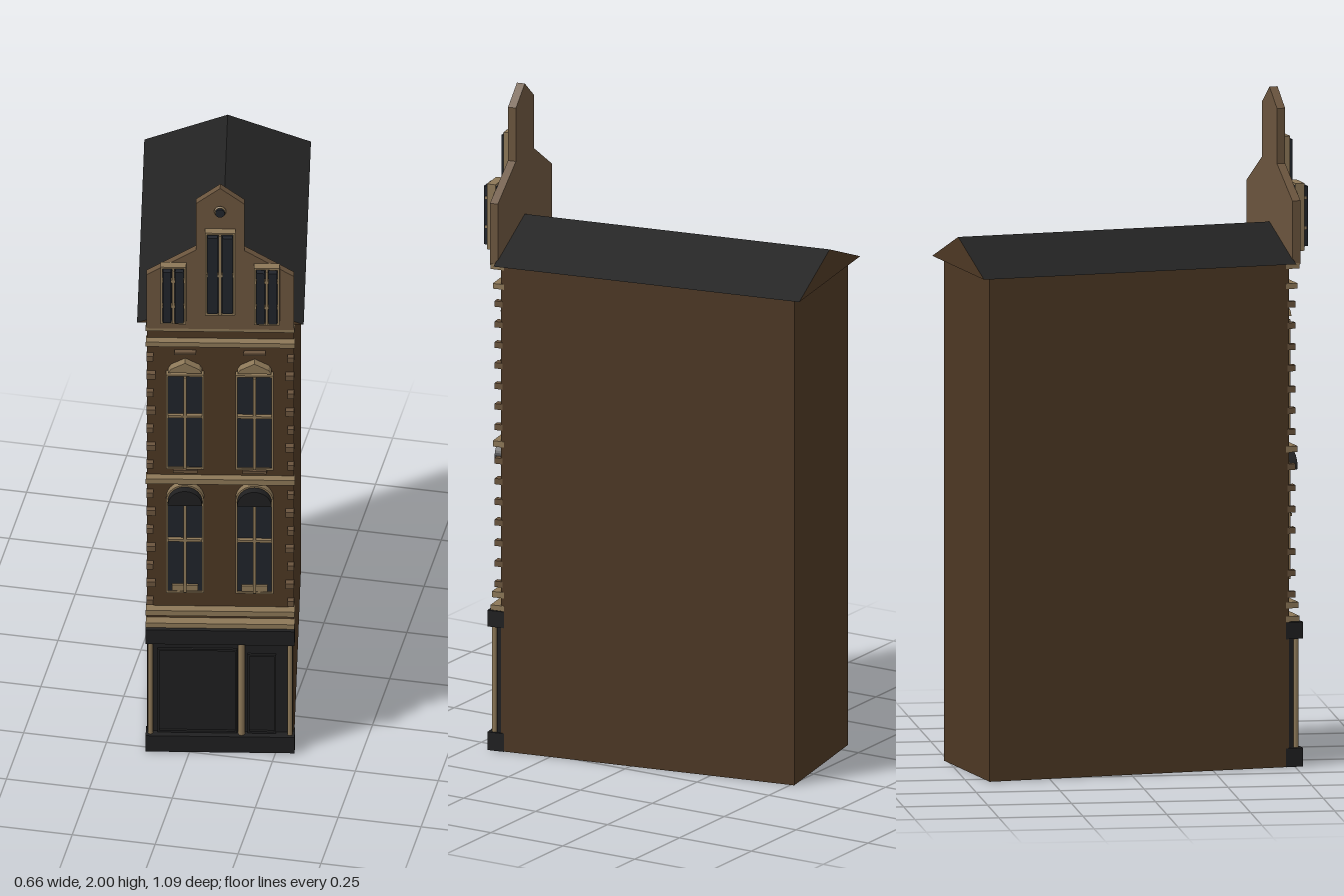
import * as THREE from 'three';

const mat = (name, color) => {
  const m = new THREE.MeshStandardMaterial({ color });
  m.name = name;
  return m;
};

export function createModel() {
  const brick = mat('brown brick', 0x4c3723);
  const stone = mat('gable stone', 0x6a543d);
  const trim = mat('tan trim', 0x8c7757);
  const slate = mat('dark slate', 0x222222);
  const glass = mat('window glass', 0x20242a);
  const shop = mat('black shop paint', 0x1f1f20);

  const model = new THREE.Group();
  model.name = 'townhouse';
  const house = new THREE.Group();
  house.name = 'house';
  house.rotation.y = 0.182; // the house stands slightly turned
  model.add(house);

  const add = (name, geo, material, parent = house) => {
    const mesh = new THREE.Mesh(geo, material);
    mesh.name = name;
    parent.add(mesh);
    return mesh;
  };
  // box from its limits
  const box = (name, material, x0, x1, y0, y1, z0, z1, parent = house) => {
    const m = add(name, new THREE.BoxGeometry(x1 - x0, y1 - y0, z1 - z0), material, parent);
    m.position.set((x0 + x1) / 2, (y0 + y1) / 2, (z0 + z1) / 2);
    return m;
  };
  // outline extruded from z0 to z1
  const plate = (name, material, shape, z0, z1, parent = house) => {
    const geo = new THREE.ExtrudeGeometry(shape, { depth: z1 - z0, bevelEnabled: false, curveSegments: 12 });
    const m = add(name, geo, material, parent);
    m.position.z = z0;
    return m;
  };
  const polygon = pts => new THREE.Shape(pts.map(p => new THREE.Vector2(...p)));

  const W = 0.217; // half width of the house
  const F = 0.45;  // facade plane

  box('body', brick, -W, W, 0, 1.505, -0.48, F);

  // roof: brick gable ends, slate slopes and underside
  plate('roof', [brick, slate], polygon([[-0.246, 1.505], [0.246, 1.505], [0, 1.597]]), -0.507, 0.463);

  // stepped front gable
  plate('frontGable', stone, polygon([
    [-0.218, 1.5], [0.218, 1.5], [0.218, 1.69], [0.072, 1.78], [0.072, 1.945],
    [0, 2], [-0.072, 1.945], [-0.072, 1.78], [-0.218, 1.69],
  ]), 0.46, 0.485);

  // round attic opening
  const ring = add('atticRing', new THREE.TorusGeometry(0.014, 0.004, 8, 20), trim);
  ring.position.set(0, 1.923, 0.492);
  const hole = add('atticOpening', new THREE.CylinderGeometry(0.014, 0.014, 0.022, 20), glass);
  hole.rotation.x = Math.PI / 2;
  hole.position.set(0, 1.923, 0.493);

  // rectangular window with trim frame, glass, mullion and transoms
  const addWindow = (name, cx, hw, y0, y1, z, depth, transoms) => {
    const g = new THREE.Group();
    g.name = name;
    house.add(g);
    const t = 0.006;
    const zf = z + depth;
    box('pane', glass, cx - hw + t, cx + hw - t, y0 + t, y1 - t, z, z + depth * 0.6, g);
    for (const s of [-1, 1]) {
      const x = cx + s * (hw - t / 2);
      box('jamb', trim, x - t / 2, x + t / 2, y0, y1, z, z + depth * 0.75, g);
    }
    box('frameBottom', trim, cx - hw, cx + hw, y0, y0 + t, z, z + depth * 0.75, g);
    box('frameTop', trim, cx - hw, cx + hw, y1 - t, y1, z, z + depth * 0.75, g);
    box('mullion', trim, cx - 0.004, cx + 0.004, y0 + t, y1 - t, z + depth * 0.5, zf, g);
    for (const y of transoms) {
      box('transom', trim, cx - hw + t, cx + hw - t, y - 0.004, y + 0.004, z + depth * 0.5, zf, g);
    }
    return g;
  };

  // gable windows
  for (const s of [-1, 1]) {
    const c = s * 0.138;
    addWindow('gableSideWindow', c, 0.038, 1.533, 1.735, 0.484, 0.036, [1.6, 1.69]);
    box('gableSash', glass, c - 0.03, c - 0.006, 1.545, 1.725, 0.505, 0.524);
    box('gableSash', glass, c + 0.006, c + 0.03, 1.545, 1.725, 0.505, 0.524);
  }
  addWindow('gableCentreWindow', 0, 0.045, 1.565, 1.857, 0.484, 0.034, [1.71]);
  for (const s of [-1, 1]) {
    box('gableSash', glass, s * 0.022 - 0.015, s * 0.022 + 0.015, 1.577, 1.845, 0.503, 0.52);
  }

  for (const c of [-0.104, 0.101]) {
    // upper floor windows with small pediments
    addWindow('upperWindow', c, 0.056, 0.992, 1.327, F, 0.03, [1.183]);
    plate('pediment', trim, polygon([
      [c - 0.05, 1.337], [c + 0.05, 1.337], [c + 0.042, 1.35], [c, 1.372], [c - 0.042, 1.35],
    ]), F, 0.478);
    box('pedimentCap', stone, c - 0.032, c + 0.032, 1.395, 1.402, F, 0.468);
    box('upperSill', stone, c - 0.036, c + 0.036, 0.976, 0.986, F, 0.47);

    // lower windows with dark arched heads
    addWindow('lowerWindow', c, 0.056, 0.552, 0.878, F, 0.03, [0.743]);
    const arch = new THREE.Shape();
    arch.moveTo(c - 0.056, 0.878);
    arch.lineTo(c + 0.056, 0.878);
    arch.absellipse(c, 0.878, 0.056, 0.056, 0, Math.PI, false);
    plate('archTrim', trim, arch, F, 0.472);
    const head = new THREE.Shape();
    head.moveTo(c - 0.051, 0.878);
    head.lineTo(c + 0.051, 0.878);
    head.absellipse(c, 0.878, 0.051, 0.051, 0, Math.PI, false);
    plate('archHead', shop, head, F, 0.497);
    box('lowerSill', trim, c - 0.038, c + 0.038, 0.562, 0.582, F, 0.476);
  }

  // horizontal mouldings: bottom, top, front
  for (const [y0, y1, z] of [
    [1.488, 1.504, 0.482], [1.428, 1.444, 0.475], [0.94, 0.958, 0.475],
    [0.474, 0.492, 0.478], [0.434, 0.45, 0.482],
  ]) {
    box('moulding', trim, -W - 0.003, W + 0.003, y0, y1, F - 0.01, z);
  }

  // corner quoins
  for (const s of [-1, 1]) {
    for (const [start, count] of [[0.515, 7], [1.0, 7]]) {
      for (let i = 0; i < count; i++) {
        const y = start + i * 0.0635;
        const w = i % 2 ? 0.026 : 0.02;
        const x = s * (W + 0.001 - w / 2);
        box('quoin', stone, x - w / 2, x + w / 2, y - 0.009, y + 0.009, F - 0.005, 0.47);
      }
    }
  }

  // shop front
  box('shopPlinth', shop, -W - 0.003, W + 0.003, 0, 0.056, F - 0.01, 0.492);
  box('shopCornice', shop, -W - 0.003, W + 0.003, 0.382, 0.432, F - 0.01, 0.492);
  box('shopPanel', shop, -W + 0.002, W - 0.002, 0.05, 0.39, F, 0.464);
  const border = (name, x0, x1, y0, y1) => {
    const s = polygon([[x0, y0], [x1, y0], [x1, y1], [x0, y1]]);
    const t = 0.006;
    s.holes.push(polygon([[x0 + t, y0 + t], [x0 + t, y1 - t], [x1 - t, y1 - t], [x1 - t, y0 + t]]));
    plate(name, shop, s, 0.464, 0.472);
  };
  border('shopWindowFrame', -0.185, 0.05, 0.056, 0.352);
  border('shopDoorFrame', 0.08, 0.165, 0.056, 0.335);
  for (const [x, r] of [[-0.206, 0.008], [0.063, 0.01], [0.206, 0.008]]) {
    const col = add('shopColumn', new THREE.CylinderGeometry(r, r, 0.326, 12), trim);
    col.position.set(x, 0.219, 0.474);
  }

  return model;
}
